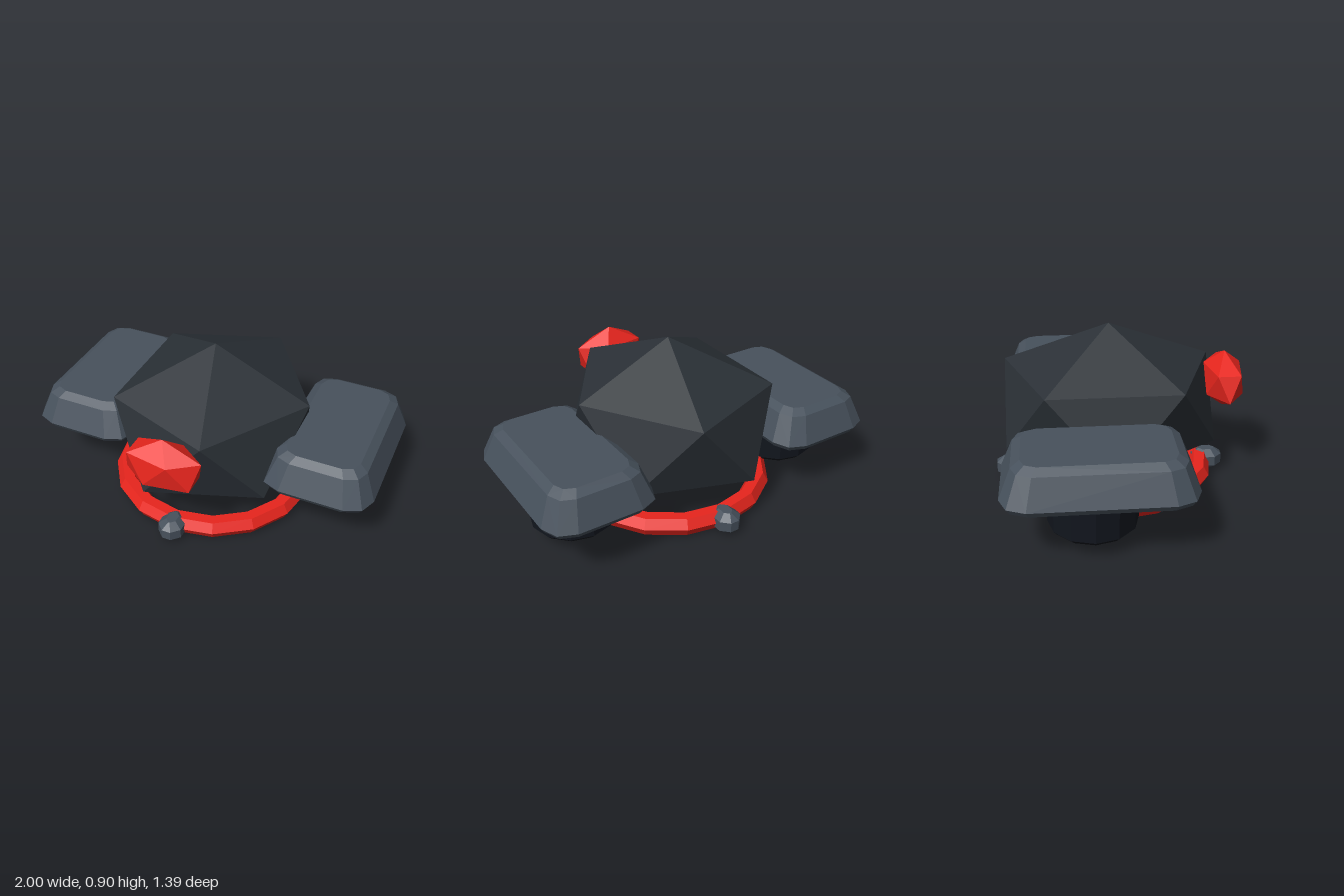
import * as THREE from 'three';
import { ConvexGeometry } from 'three/addons/geometries/ConvexGeometry.js';

const paint = (color) => new THREE.MeshStandardMaterial({ color, flatShading: true });

// Icosahedron standing on one corner, stretched to the given radii
function gem(rx, ry, rz) {
  return new THREE.IcosahedronGeometry(1, 0)
    .rotateZ(-Math.atan(2 / (1 + Math.sqrt(5))))
    .scale(rx, ry, rz);
}

// Solid from stacked rounded rectangles; layers are [height, inset]
function stackedBlock(width, depth, radius, cornerSteps, layers) {
  const points = [];
  for (const [y, inset] of layers) {
    const r = Math.max(radius - inset * 0.5, 0.01);
    for (let corner = 0; corner < 4; corner++) {
      const sx = corner === 0 || corner === 3 ? 1 : -1;
      const sz = corner < 2 ? 1 : -1;
      for (let i = 0; i <= cornerSteps; i++) {
        const a = (corner + i / cornerSteps) * Math.PI / 2;
        points.push(new THREE.Vector3(
          sx * (width / 2 - inset - r) + r * Math.cos(a), y,
          sz * (depth / 2 - inset - r) + r * Math.sin(a)));
      }
    }
  }
  return new ConvexGeometry(points);
}

export function createModel() {
  const model = new THREE.Group();
  model.name = 'hoverPod';

  const hullPaint = paint(0x2b3137);
  const shellPaint = paint(0x47515c);
  const podPaint = paint(0x11151d);
  const redPaint = paint(0xe8251d);

  function add(name, geometry, material, x, y, z) {
    const mesh = new THREE.Mesh(geometry, material);
    mesh.name = name;
    mesh.position.set(x, y, z);
    model.add(mesh);
    return mesh;
  }

  // Faceted hull and the red gem on its front
  add('body', gem(0.61, 0.45, 0.677), hullPaint, 0, 0.455, -0.053);
  add('frontEye', gem(0.236, 0.163, 0.121), redPaint, 0, 0.562, 0.593);

  // Six-sided ring under the hull
  add('baseRing', new THREE.TorusGeometry(0.525, 0.06, 6, 16).rotateX(Math.PI / 2),
    redPaint, 0, 0.0625, -0.05);

  // Bevelled knobs at the front and back of the ring
  const knob = stackedBlock(0.135, 0.172, 0.043, 1,
    [[-0.06, 0.04], [-0.028, 0], [0.028, 0], [0.06, 0.04]]);
  add('frontKnob', knob, shellPaint, 0, 0.064, 0.514);
  add('backKnob', knob, shellPaint, 0, 0.064, -0.61);

  // Side covers with sloping walls, and the drums beneath them
  const cover = stackedBlock(0.61, 0.955, 0.13, 2,
    [[0.318, 0.02], [0.35, 0], [0.5, 0.06], [0.528, 0.105]]);
  const drumProfile = [[0, 0.085], [0.205, 0.085], [0.23, 0.11], [0.23, 0.3], [0.205, 0.33], [0, 0.33]]
    .map(([r, y]) => new THREE.Vector2(r, y));
  const drum = new THREE.LatheGeometry(drumProfile, 12);
  for (const [side, s] of [['left', 1], ['right', -1]]) {
    add(side + 'Cover', cover, shellPaint, s * 0.695, 0, -0.157);
    add(side + 'Drum', drum, podPaint, s * 0.68, 0, -0.185);
  }

  return model;
}
